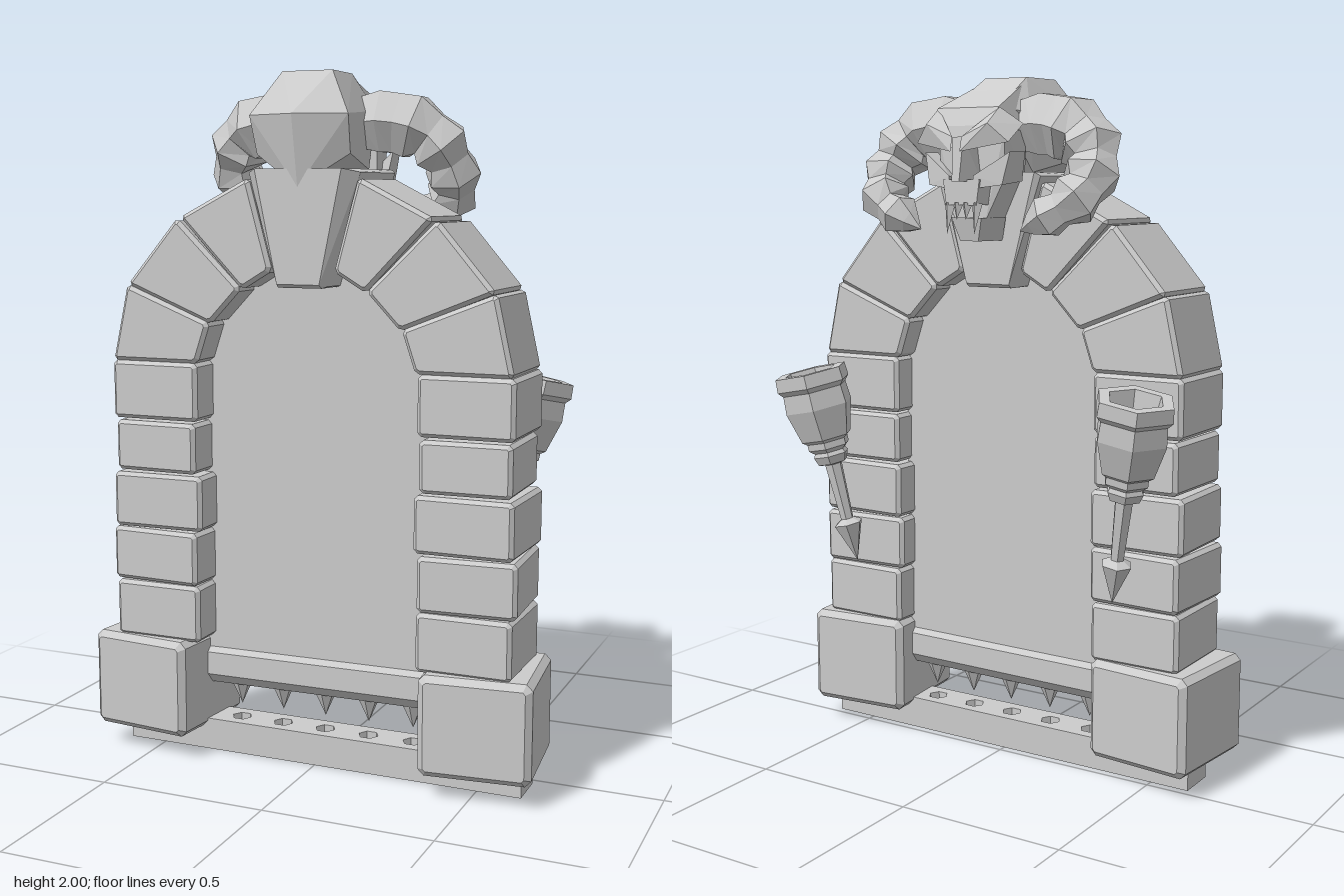
import * as THREE from 'three';
import { ConvexGeometry } from 'three/addons/geometries/ConvexGeometry.js';

const grey = new THREE.MeshStandardMaterial({ color: 0xcccccc, flatShading: true, side: THREE.DoubleSide });
const V = (x, y, z) => new THREE.Vector3(x, y, z);

function add(parent, name, geometry) {
  const mesh = new THREE.Mesh(geometry, grey);
  mesh.name = name;
  parent.add(mesh);
  return mesh;
}

// Stone with chamfered edges: outline in x/y, extruded between two z values
function stone(corners, z0, z1, c = 0.011) {
  const pts = [];
  corners.forEach(([x, y], i) => {
    const p = new THREE.Vector2(x, y);
    for (const j of [i + corners.length - 1, i + 1]) {
      const q = new THREE.Vector2(...corners[j % corners.length]);
      pts.push(p.clone().add(q.sub(p).setLength(c)));
    }
  });
  const geo = new THREE.ExtrudeGeometry(new THREE.Shape(pts), {
    depth: z1 - z0 - 2 * c, bevelEnabled: true, bevelSegments: 1,
    bevelSize: c, bevelThickness: c, bevelOffset: -c,
  });
  return geo.translate(0, 0, z0 + c);
}
const rect = (x0, x1, y0, y1) => [[x0, y0], [x1, y0], [x1, y1], [x0, y1]];

// Convex solid; symmetric ones list only the points with x >= 0
function hull(points, symmetric = true) {
  const pts = [];
  for (const [x, y, z] of points) {
    pts.push(V(x, y, z));
    if (symmetric && x > 0) pts.push(V(-x, y, z));
  }
  return new ConvexGeometry(pts);
}

// Six-sided horn of bulging, pinched segments with a pointed end
function horn(s) {
  const path = new THREE.CatmullRomCurve3([
    V(s * 0.07, 1.86, 0), V(s * 0.18, 1.865, 0), V(s * 0.28, 1.835, -0.015), V(s * 0.33, 1.765, -0.045),
    V(s * 0.335, 1.7, -0.09), V(s * 0.31, 1.655, -0.13), V(s * 0.255, 1.62, -0.15), V(s * 0.165, 1.575, -0.158),
  ]);
  const radii = [0.078, 0.085, 0.097, 0.094, 0.1, 0.075, 0.092, 0.066, 0.084, 0.06, 0.077, 0.05, 0.062, 0.034, 0];
  const n = radii.length - 1, sides = 6;
  const geo = new THREE.TubeGeometry(path, n, 1, sides);
  const pos = geo.attributes.position, v = V(0, 0, 0);
  for (let i = 0; i <= n; i++) {
    const centre = path.getPointAt(i / n);
    for (let j = 0; j <= sides; j++) {
      const k = i * (sides + 1) + j;
      v.fromBufferAttribute(pos, k).sub(centre).multiplyScalar(radii[i]).add(centre);
      pos.setXYZ(k, v.x, v.y, v.z);
    }
  }
  return geo;
}

// Six-sided torch, from the pointed foot up to the hollow cup
function torch() {
  const profile = [
    [0, 0], [0.045, 0.12], [0.02, 0.135], [0.027, 0.31], [0.046, 0.315], [0.056, 0.34], [0.05, 0.352],
    [0.066, 0.365], [0.066, 0.385], [0.08, 0.395], [0.106, 0.49], [0.102, 0.545], [0.116, 0.56], [0.113, 0.6],
    [0.08, 0.6], [0.055, 0.48], [0, 0.47],
  ].map(([r, y]) => new THREE.Vector2(r, y));
  return new THREE.LatheGeometry(profile, 6).rotateY(Math.PI / 6);
}

export function createModel() {
  const model = new THREE.Group();
  model.name = 'gateway';

  // Pillars: [bottom, top, inner x, outer x, turn]
  const courses = [
    [0.355, 0.524, 0.337, 0.613, 0], [0.527, 0.685, 0.335, 0.618, 0.05], [0.69, 0.853, 0.33, 0.617, -0.02],
    [0.86, 1.008, 0.342, 0.604, 0.02], [1.015, 1.185, 0.337, 0.613, 0],
  ];
  // Arch stones, from the springing up to the keystone
  const voussoirs = [
    [[0.61, 1.185], [0.332, 1.185], [0.292, 1.303], [0.56, 1.408]],
    [[0.557, 1.408], [0.392, 1.6], [0.19, 1.403], [0.288, 1.3]],
    [[0.382, 1.602], [0.165, 1.712], [0.094, 1.455], [0.187, 1.4]],
  ];
  for (const s of [-1, 1]) {
    const side = s > 0 ? 'left' : 'right';
    const base = add(model, side + 'BaseBlock', stone(rect(-0.16, 0.16, -0.145, 0.145), -0.165, 0.165, 0.018));
    base.position.set(s * 0.508, 0.215, 0.095);
    base.rotation.y = s * 0.1;
    courses.forEach(([y0, y1, xi, xo, turn], i) => {
      const w = (xo - xi) / 2, h = (y1 - y0) / 2;
      const block = add(model, side + 'PillarStone' + (i + 1), stone(rect(-w, w, -h, h), -0.137, 0.137));
      block.position.set(s * (xi + xo) / 2 + 0.006, (y0 + y1) / 2, 0.095);
      block.rotation.y = s * turn;
    });
    voussoirs.forEach((corners, i) =>
      add(model, side + 'ArchStone' + (i + 1), stone(corners.map(([x, y]) => [s * x + 0.003, y]), -0.045, 0.23)));

    // Torches lean out and away from the pillars
    const foot = V(s * 0.443, 0.56, -0.12), top = V(s * 0.552 + 0.006, 1.15, -0.192);
    const t = add(model, side + 'Torch', torch());
    t.position.copy(foot);
    t.quaternion.setFromUnitVectors(V(0, 1, 0), top.sub(foot).normalize());

    add(model, side + 'Horn', horn(s));
  }
  // Keystone with its front face narrowed toward the top
  add(model, 'keystone', hull([
    [0.155, 1.735, -0.068], [0.168, 1.725, -0.055], [0.168, 1.725, 0.205], [0.13, 1.735, 0.25],
    [0.072, 1.41, -0.055], [0.072, 1.42, -0.068], [0.076, 1.415, 0.22], [0.066, 1.41, 0.235], [0.064, 1.42, 0.25],
  ]));

  // Door panel and its bottom rail, both running in behind the pillars
  const half = [[0.36, 0.28], [0.36, 1.2], [0.32, 1.33], [0.23, 1.44], [0.1, 1.5]];
  const outline = [...half, ...half.map(([x, y]) => [-x, y]).reverse()].map(([x, y]) => new THREE.Vector2(x, y));
  add(model, 'doorPanel', new THREE.ExtrudeGeometry(new THREE.Shape(outline), { depth: 0.09, bevelEnabled: false }))
    .position.z = 0.035;
  add(model, 'doorRail', hull([
    [0.4, 0.32, 0.035], [0.4, 0.32, 0.125], [0.4, 0.305, 0.02], [0.4, 0.305, 0.14],
    [0.4, 0.237, 0.02], [0.4, 0.237, 0.14], [0.4, 0.207, 0.045], [0.4, 0.207, 0.115],
  ])).rotation.z = 0.008;

  // Door spikes and the sill with matching sockets
  const sill = new THREE.Shape(rect(-0.617, 0.63, -0.06, 0.06).map(([x, y]) => new THREE.Vector2(x, y)));
  for (let i = 0; i < 5; i++) {
    const x = (i - 2) * 0.138 + 0.01;
    add(model, 'doorSpike' + (i + 1), new THREE.ConeGeometry(0.045, 0.1, 6).rotateX(Math.PI))
      .position.set(x, 0.186, 0.08);
    const hole = [];
    for (let k = 0; k < 6; k++) {
      const a = -k * Math.PI / 3;
      hole.push(new THREE.Vector2(x + 0.03 * Math.cos(a), 0.03 * Math.sin(a)));
    }
    sill.holes.push(new THREE.Path(hole));
  }
  add(model, 'sillTop', new THREE.ExtrudeGeometry(sill, { depth: 0.058, bevelEnabled: false }).rotateX(-Math.PI / 2))
    .position.set(0, 0.037, 0.083);
  add(model, 'sillBase', new THREE.BoxGeometry(1.247, 0.037, 0.12)).position.set(0.0065, 0.0185, 0.083);

  // Horned skull on the keystone, looking toward the back
  const skull = new THREE.Group();
  skull.name = 'skull';
  model.add(skull);
  add(skull, 'cranium', hull([
    [0.075, 2, 0.18], [0.07, 2, 0.03], [0, 1.88, 0.288], [0.147, 1.88, 0.243], [0.14, 1.775, 0.21],
    [0, 1.685, 0.25], [0.11, 1.735, 0], [0.118, 1.9, -0.03], [0.08, 1.91, -0.13],
  ]));
  add(skull, 'foreheadRidge', hull([
    [0.07, 1.99, 0.03], [0.1, 1.91, -0.165], [0.115, 1.86, -0.05], [0.1, 1.86, -0.19],
    [0.03, 1.8, -0.2], [0.1, 1.82, -0.08],
  ]));
  add(skull, 'faceCore', hull([
    [0.115, 1.85, -0.05], [0.11, 1.85, -0.15], [0.115, 1.72, -0.05], [0.105, 1.72, -0.14],
    [0.055, 1.6, -0.07], [0.05, 1.6, -0.155],
  ]));
  add(skull, 'nose', hull([
    [0.018, 1.83, -0.215], [0.035, 1.71, -0.15], [0.012, 1.71, -0.228], [0.02, 1.82, -0.14],
  ]));
  add(skull, 'upperJaw', hull([
    [0.08, 1.715, -0.1], [0.06, 1.715, -0.2], [0.07, 1.645, -0.1], [0.05, 1.645, -0.2],
  ]));
  add(skull, 'lowerJaw', hull([
    [0.07, 1.61, -0.08], [0.05, 1.61, -0.175], [0.05, 1.545, -0.066], [0.03, 1.545, -0.16],
  ]));
  for (const s of [-1, 1]) {
    add(skull, 'browRidge', hull([
      [s * 0.1, 1.91, -0.16], [s * 0.155, 1.865, -0.125], [s * 0.15, 1.815, -0.195], [s * 0.1, 1.865, -0.222],
      [s * 0.015, 1.79, -0.23], [s * 0.015, 1.83, -0.22], [s * 0.1, 1.83, -0.1],
    ], false));
    add(skull, 'cheekbone', hull([
      [s * 0.145, 1.79, -0.1], [s * 0.14, 1.79, -0.17], [s * 0.13, 1.71, -0.09], [s * 0.12, 1.7, -0.18],
      [s * 0.04, 1.725, -0.2], [s * 0.04, 1.69, -0.2], [s * 0.04, 1.7, -0.12],
    ], false));
    // Small front tooth and longer fang
    for (const [x, length] of [[0.015, 0.045], [0.045, 0.085]]) {
      add(skull, 'tooth', new THREE.ConeGeometry(0.017, length, 4).rotateX(Math.PI + 0.2))
        .position.set(s * x, 1.65 - length / 2, -0.195);
    }
  }
  return model;
}
